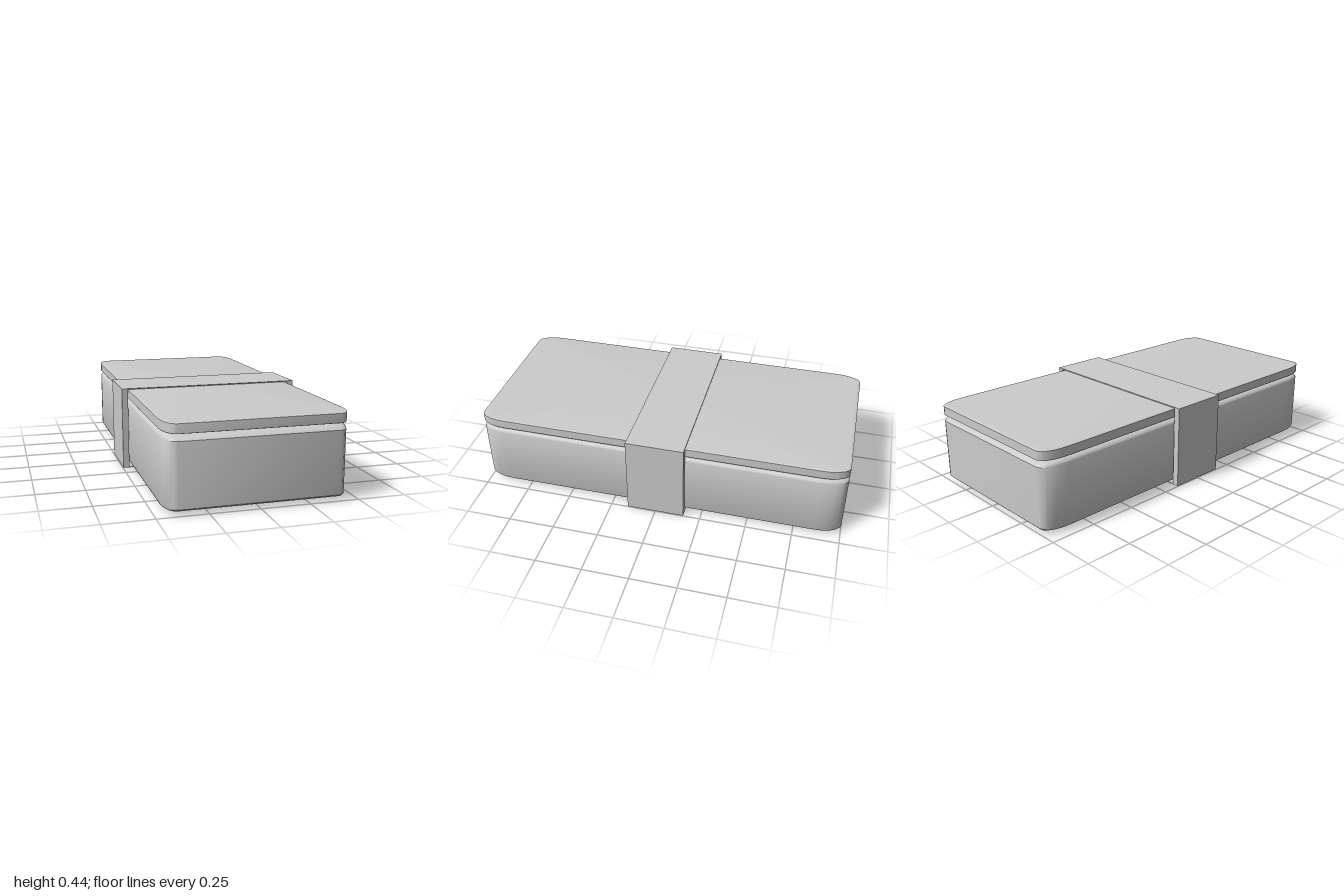
import * as THREE from 'three';
import { toCreasedNormals } from 'three/addons/utils/BufferGeometryUtils.js';

const HALF_X = 0.457, HALF_Z = 1, CORNER_X = 0.06, CORNER_Z = 0.14;
const CORNER_STEPS = 5, EDGE_STEPS = 4;

// Rounded-rectangle ring with elliptical corners, shrunk towards its corner centres by t (0..1)
function ring(y, t) {
  const points = [];
  const cx = HALF_X - CORNER_X, cz = HALF_Z - CORNER_Z;
  const rx = CORNER_X * (1 - t), rz = CORNER_Z * (1 - t);
  const signs = [[1, 1], [-1, 1], [-1, -1], [1, -1]];
  signs.forEach(([sx, sz], quarter) => {
    for (let i = 0; i <= CORNER_STEPS; i++) {
      const a = (quarter + i / CORNER_STEPS) * Math.PI / 2;
      points.push([sx * cx + rx * Math.cos(a), y, sz * cz + rz * Math.sin(a)]);
    }
  });
  return points;
}

// Closed slab with rounded upper and lower edges
function roundedSlab(bottom, top, edgeHeight, inset) {
  const rings = [];
  for (let i = 0; i <= EDGE_STEPS; i++) {
    const a = i / EDGE_STEPS * Math.PI / 2;
    rings.push(ring(bottom + edgeHeight * (1 - Math.sin(a)), inset * (1 - Math.cos(a))));
  }
  rings.reverse();
  // The reversed list runs from the base upward only after ordering by height
  rings.sort((a, b) => a[0][1] - b[0][1]);
  const upper = [];
  for (let i = 0; i <= EDGE_STEPS; i++) {
    const a = i / EDGE_STEPS * Math.PI / 2;
    upper.push(ring(top - edgeHeight * (1 - Math.sin(a)), inset * (1 - Math.cos(a))));
  }
  return [rings, upper];
}

// Lower edge, wall and upper edge profile as [y, t] from base to top
function slabProfile(bottom, top, edgeHeight, inset) {
  const profile = [];
  for (let i = 0; i <= EDGE_STEPS; i++) {
    const a = i / EDGE_STEPS * Math.PI / 2;
    profile.push([bottom + edgeHeight * (1 - Math.cos(a)), inset * (1 - Math.sin(a))]);
  }
  const mirrored = profile.map(([y, t]) => [top + bottom - y, t]).reverse();
  return [...profile, ...mirrored];
}

function slabGeometry(bottom, top, edgeHeight, inset) {
  const rings = slabProfile(bottom, top, edgeHeight, inset).map(([y, t]) => ring(y, t));
  const n = rings[0].length, last = (rings.length - 1) * n;
  const positions = rings.flat(2), index = [];
  for (let r = 0; r < rings.length - 1; r++) {
    for (let i = 0; i < n; i++) {
      const a = r * n + i, b = r * n + (i + 1) % n;
      index.push(a, a + n, b, b, a + n, b + n);
    }
  }
  // Flat caps
  const centre = positions.length / 3;
  positions.push(0, bottom, 0, 0, top, 0);
  for (let i = 0; i < n; i++) {
    const j = (i + 1) % n;
    index.push(centre, i, j, centre + 1, last + j, last + i);
  }
  const geometry = new THREE.BufferGeometry();
  geometry.setAttribute('position', new THREE.Float32BufferAttribute(positions, 3));
  geometry.setIndex(index);
  return toCreasedNormals(geometry, 0.6);
}

// Rectangular sleeve wrapped around the box
function bandGeometry() {
  const rectangle = (Type, x, y0, y1) => new Type([
    new THREE.Vector2(-x, y0), new THREE.Vector2(x, y0),
    new THREE.Vector2(x, y1), new THREE.Vector2(-x, y1),
  ]);
  const shape = rectangle(THREE.Shape, 0.497, 0, 0.443);
  shape.holes.push(rectangle(THREE.Path, 0.464, 0.005, 0.438));
  const geometry = new THREE.ExtrudeGeometry(shape, { depth: 0.314, bevelEnabled: false });
  return geometry.translate(0, 0, -0.157);
}

export function createModel() {
  const group = new THREE.Group();
  group.name = 'lunchBox';
  const material = new THREE.MeshStandardMaterial({ color: 0xcccccc });
  const add = (name, geometry) => {
    const mesh = new THREE.Mesh(geometry, material);
    mesh.name = name;
    group.add(mesh);
  };
  add('boxBody', slabGeometry(0.008, 0.374, 0.024, 0.85));
  add('lid', slabGeometry(0.381, 0.435, 0.004, 0.25));
  add('band', bandGeometry());
  return group;
}
